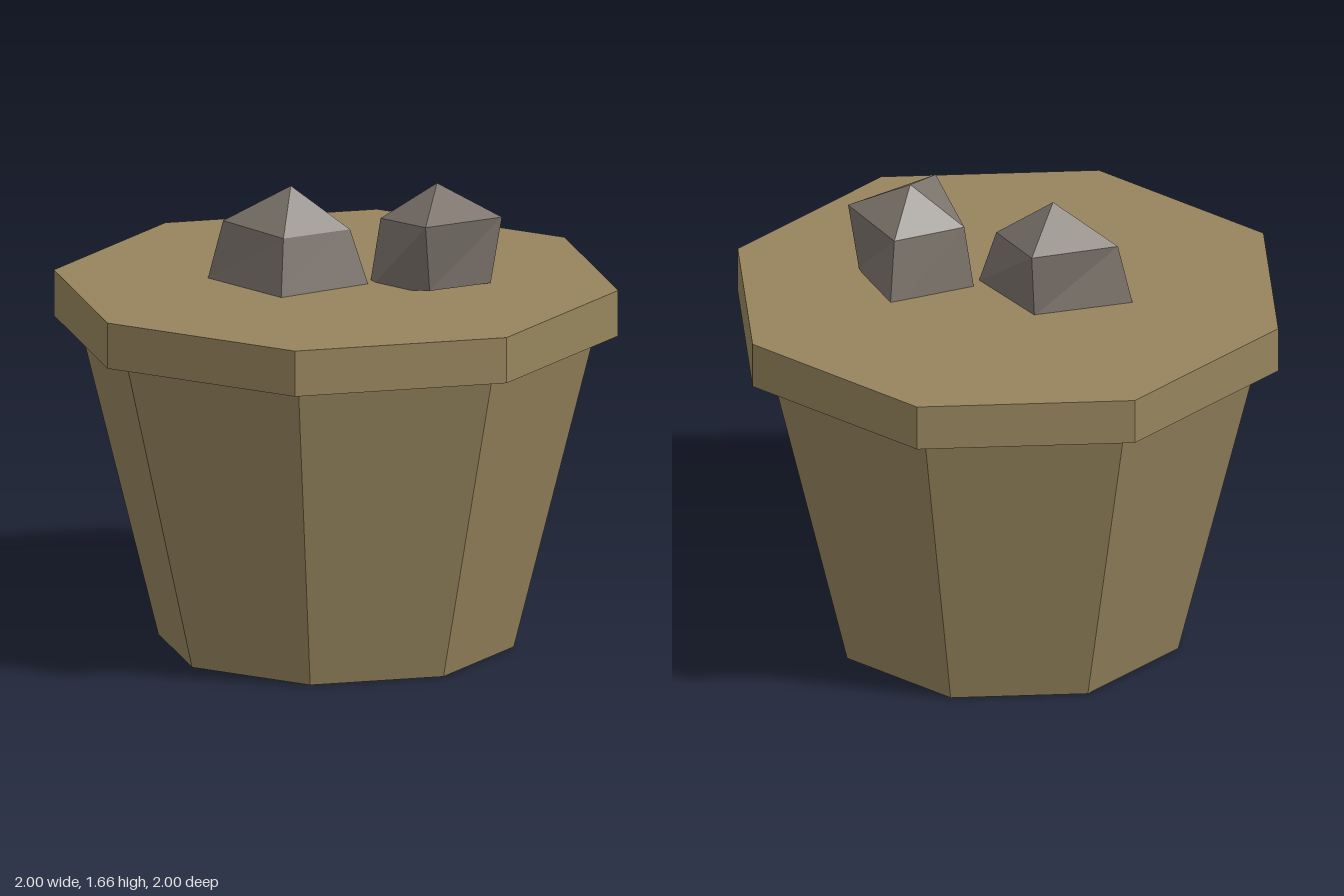
import * as THREE from 'three';

const clay = new THREE.MeshStandardMaterial({ color: 0x96845d, flatShading: true });
clay.name = 'clay';
const stone = new THREE.MeshStandardMaterial({ color: 0x7c746c, flatShading: true });
stone.name = 'stone';

// Eight-sided solid between two heights
function octagon(name, topRadius, bottomRadius, y0, y1) {
  const mesh = new THREE.Mesh(new THREE.CylinderGeometry(topRadius, bottomRadius, y1 - y0, 8), clay);
  mesh.position.y = (y0 + y1) / 2;
  mesh.name = name;
  return mesh;
}

// Four-sided rock: base ring, shoulder ring (left, front, right, back) and a peak
function rock(name, base, shoulder, peak) {
  const points = [];
  const tri = (...corners) => corners.forEach((p) => points.push(...p));
  for (let i = 0; i < 4; i++) {
    const j = (i + 1) % 4;
    tri(base[i], base[j], shoulder[j]);
    tri(base[i], shoulder[j], shoulder[i]);
    tri(shoulder[i], shoulder[j], peak);
  }
  // underside
  tri(base[0], base[2], base[1]);
  tri(base[0], base[3], base[2]);
  const geometry = new THREE.BufferGeometry();
  geometry.setAttribute('position', new THREE.Float32BufferAttribute(points, 3));
  geometry.computeVertexNormals();
  const mesh = new THREE.Mesh(geometry, stone);
  mesh.name = name;
  return mesh;
}

export function createModel() {
  const model = new THREE.Group();
  model.name = 'pottedRocks';

  model.add(octagon('potBody', 0.915, 0.63, 0, 1.14));
  model.add(octagon('potRim', 1, 1, 1.14, 1.305));

  model.add(rock('wideRock',
    [[-0.45, 1.3, 0.035], [-0.155, 1.3, 0.27], [0.12, 1.3, 0.035], [-0.155, 1.3, -0.17]],
    [[-0.395, 1.515, 0.035], [-0.155, 1.505, 0.215], [0.055, 1.5, 0.035], [-0.155, 1.54, -0.2]],
    [-0.155, 1.65, 0.035]));

  // Tilted, with its front corner lifted off the surface
  model.add(rock('tiltedRock',
    [[0.115, 1.272, -0.02], [0.355, 1.32, 0.16], [0.545, 1.31, -0.02], [0.355, 1.256, -0.245]],
    [[0.155, 1.53, -0.02], [0.355, 1.575, 0.26], [0.585, 1.55, -0.02], [0.355, 1.525, -0.195]],
    [0.355, 1.665, -0.02]));

  return model;
}
